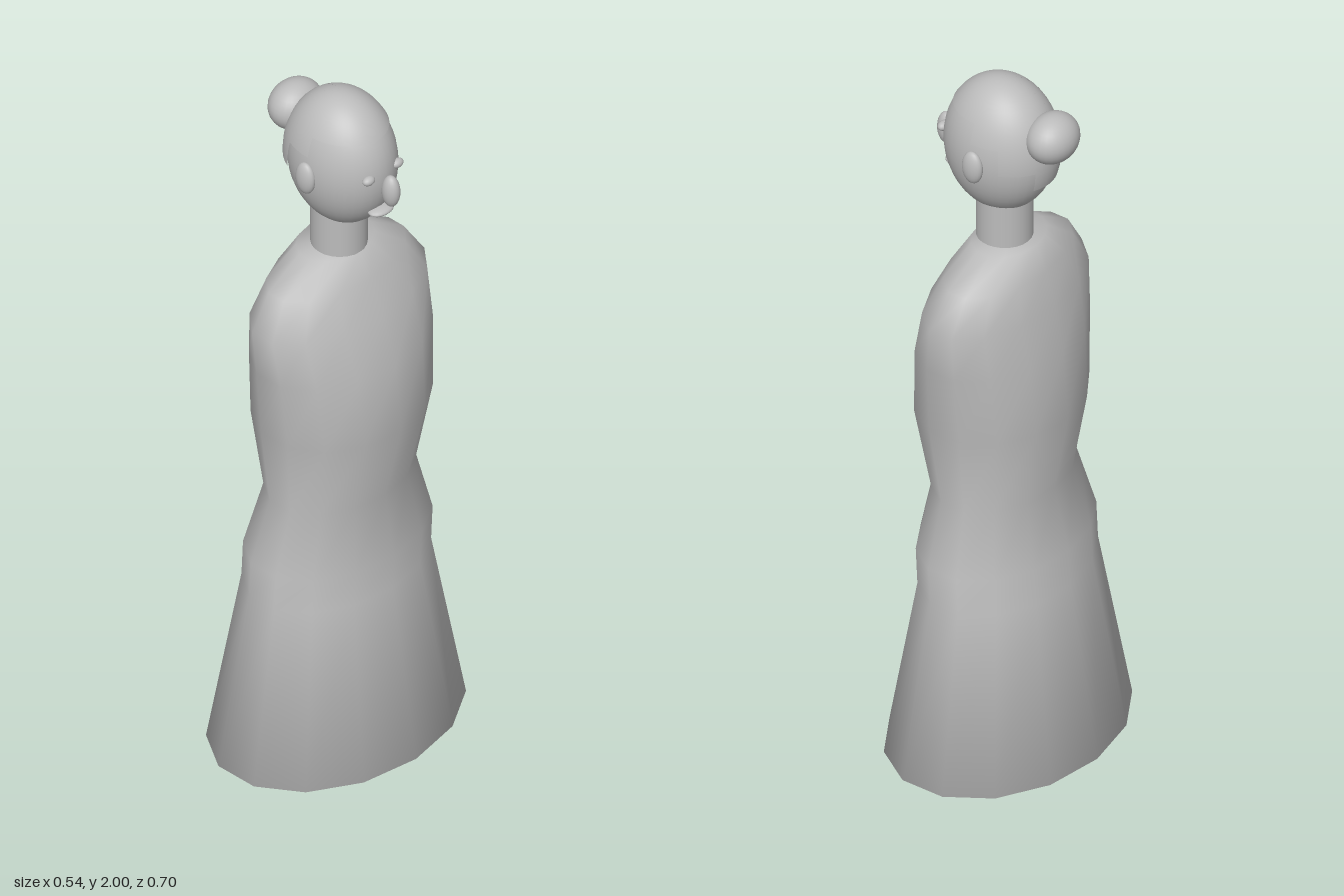
import * as THREE from 'three';

const clay = new THREE.MeshStandardMaterial({ color: 0xbcbcbc, side: THREE.DoubleSide });
clay.name = 'clay grey';

const SIDES = 14;

// Robe cross-sections: [height, back x, front x, half width in z]
const ROBE = [
  [0.10, -0.268, 0.268, 0.36],
  [0.58, -0.188, 0.19, 0.268],
  [0.68, -0.183, 0.195, 0.268],
  [0.85, -0.14, 0.165, 0.216],
  [1.07, -0.18, 0.218, 0.243],
  [1.26, -0.166, 0.2, 0.261],
  [1.39, -0.142, 0.158, 0.274],
  [1.48, -0.115, 0.115, 0.216],
  [1.545, -0.085, 0.08, 0.11],
];

// Smooth closed skin over elliptical rings, with a point at each end
function loft(rings, bottomY, topY) {
  const pos = [], index = [];
  for (const [y, back, front, rz] of rings) {
    for (let i = 0; i < SIDES; i++) {
      const a = (i / SIDES) * Math.PI * 2;
      pos.push((back + front) / 2 + Math.cos(a) * (front - back) / 2, y, -Math.sin(a) * rz);
    }
  }
  const last = (rings.length - 1) * SIDES;
  const bottom = rings.length * SIDES, top = bottom + 1;
  pos.push(0, bottomY, 0, 0, topY, 0);
  for (let i = 0; i < SIDES; i++) {
    const j = (i + 1) % SIDES;
    for (let r = 0; r < last; r += SIDES) {
      index.push(r + i, r + j, r + SIDES + j, r + i, r + SIDES + j, r + SIDES + i);
    }
    index.push(bottom, j, i, top, last + i, last + j);
  }
  const g = new THREE.BufferGeometry();
  g.setAttribute('position', new THREE.Float32BufferAttribute(pos, 3));
  g.setIndex(index);
  g.computeVertexNormals();
  return g;
}

export function createModel() {
  const model = new THREE.Group();
  model.name = 'robedFigure';

  const add = (name, geometry, x = 0, y = 0, z = 0) => {
    const mesh = new THREE.Mesh(geometry, clay);
    mesh.name = name;
    mesh.position.set(x, y, z);
    model.add(mesh);
    return mesh;
  };
  const ellipsoid = (name, [x, y, z], [rx, ry, rz], w = 20, h = 14) =>
    add(name, new THREE.SphereGeometry(1, w, h).scale(rx, ry, rz), x, y, z);

  // Body and neck
  add('robe', loft(ROBE, 0, 1.55));
  add('neck', new THREE.CylinderGeometry(0.07, 0.07, 0.18, 24), 0.01, 1.59, 0);

  // Head and face, looking along +x
  ellipsoid('head', [0.022, 1.812, 0], [0.147, 0.182, 0.122], 36, 24);
  ellipsoid('nose', [0.184, 1.785, 0], [0.025, 0.045, 0.021]);
  ellipsoid('mouth', [0.15, 1.714, 0], [0.026, 0.011, 0.038]);
  for (const s of [1, -1]) {
    const side = s > 0 ? 'left' : 'right';
    ellipsoid(side + 'Eye', [0.157, 1.829, s * 0.05], [0.013, 0.012, 0.018]);
    ellipsoid(side + 'Ear', [0.016, 1.805, s * 0.124], [0.029, 0.045, 0.018]);
  }

  // Hair shell in stepped sectors: [start, end] in degrees from the back, lower edge height
  const hairY = 1.812, hairR = [0.153, 0.188, 0.13];
  const sectors = [
    [-24, 24, 1.745],
    [24, 62, 1.80],
    [62, 92, 1.87],
    [92, 268, 1.92],
    [268, 298, 1.87],
    [298, 336, 1.80],
  ];
  for (const [from, to, edge] of sectors) {
    const drop = Math.acos((edge - hairY) / hairR[1]);
    const g = new THREE.SphereGeometry(1, Math.ceil((to - from) / 8), 14,
      THREE.MathUtils.degToRad(from), THREE.MathUtils.degToRad(to - from), 0, drop);
    add('hair', g.scale(...hairR), 0.018, hairY, 0);
  }
  ellipsoid('hairBun', [-0.135, 1.886, 0], [0.062, 0.064, 0.075], 28, 18);

  return model;
}
